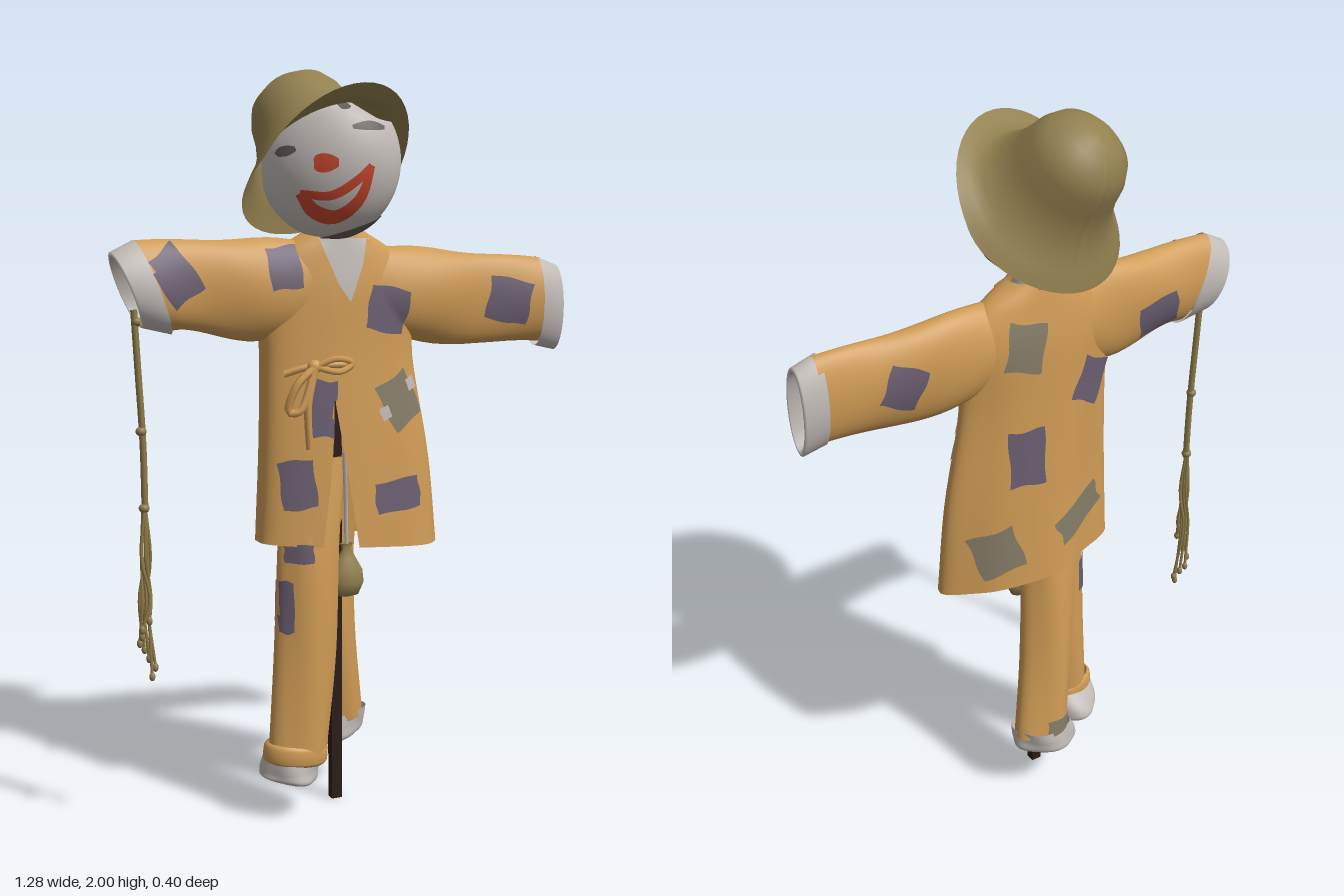
import * as THREE from 'three';

const V = (x, y, z) => new THREE.Vector3(x, y, z);
const mat = (name, color) => {
  const m = new THREE.MeshStandardMaterial({ color, side: THREE.DoubleSide });
  m.name = name;
  return m;
};

// Cross-sections: a level ring (body, legs) and an upright ring (sleeves)
const level = (x, y, z, rx, rz, tilt = 0) => ({ c: V(x, y, z), u: V(rx, tilt, 0), v: V(0, 0, rz) });
const upright = (x, y, z, ry, rz, tilt = 0) => ({ c: V(x, y, z), u: V(tilt, ry, 0), v: V(0, 0, rz) });

// Skin through cross-sections; fold(a, t) scales the radius, gap(t) opens the front
function loft(rings, { sub = 6, segs = 48, fold = () => 1, gap = null } = {}) {
  const curve = k => new THREE.CatmullRomCurve3(rings.map(r => r[k]), false, 'catmullrom', 0.5);
  const [c, u, v] = ['c', 'u', 'v'].map(curve);
  const rows = (rings.length - 1) * sub, cols = gap ? segs + 1 : segs;
  const pos = [], idx = [];
  for (let i = 0; i <= rows; i++) {
    const t = i / rows, C = c.getPoint(t), U = u.getPoint(t), W = v.getPoint(t);
    const g = gap ? gap(t) : 0;
    for (let j = 0; j < cols; j++) {
      const a = Math.PI / 2 + 0.23 + g + (j / segs) * (2 * Math.PI - 2 * g);
      const f = fold(a, t);
      pos.push(...C.clone().addScaledVector(U, Math.cos(a) * f).addScaledVector(W, Math.sin(a) * f).toArray());
    }
  }
  for (let i = 0; i < rows; i++) for (let j = 0; j < segs; j++) {
    const k = (j + 1) % cols, a = i * cols + j, b = i * cols + k, d = a + cols, e = b + cols;
    idx.push(a, d, b, b, d, e);
  }
  const geo = new THREE.BufferGeometry();
  geo.setAttribute('position', new THREE.Float32BufferAttribute(pos, 3));
  geo.setIndex(idx);
  geo.computeVertexNormals();
  return geo;
}

// Thin sheet laid onto target meshes, projected along z from the front (1) or back (-1)
function drape(targets, outline, nu, nv, side, lift = 0.005) {
  const ray = new THREE.Raycaster(), pos = [], idx = [], depth = [];
  for (let i = 0; i <= nu; i++) for (let j = 0; j <= nv; j++) {
    const [x, y] = outline(i / nu, j / nv);
    ray.set(V(x, y, 2 * side), V(0, 0, -side));
    const hit = ray.intersectObjects(targets, false)[0];
    depth.push(hit ? hit.point.z : NaN);
    pos.push(x, y, hit ? hit.point.z + side * lift : 0);
  }
  for (let i = 0; i < nu; i++) for (let j = 0; j < nv; j++) {
    const a = i * (nv + 1) + j, q = [a, a + 1, a + nv + 1, a + nv + 2], z = q.map(k => depth[k]);
    if (!(Math.max(...z) - Math.min(...z) < 0.06)) continue;
    if (side > 0) idx.push(q[0], q[2], q[1], q[1], q[2], q[3]);
    else idx.push(q[0], q[1], q[2], q[1], q[3], q[2]);
  }
  const geo = new THREE.BufferGeometry();
  geo.setAttribute('position', new THREE.Float32BufferAttribute(pos, 3));
  geo.setIndex(idx);
  geo.computeVertexNormals();
  return geo;
}

const patchOutline = (cx, cy, w, h, rot) => (s, t) => {
  const x = (s - 0.5) * w * (1 + 0.05 * Math.sin(t * 7 + cx * 40));
  const y = (t - 0.5) * h * (1 + 0.05 * Math.sin(s * 6 + cy * 40));
  return [cx + x * Math.cos(rot) - y * Math.sin(rot), cy + x * Math.sin(rot) + y * Math.cos(rot)];
};

const strokeOutline = (points, width, taper = 0) => {
  const c = new THREE.CatmullRomCurve3(points.map(p => V(p[0], p[1], 0)));
  return (s, t) => {
    const p = c.getPoint(s), d = c.getTangent(s);
    const w = (t - 0.5) * width * (1 - taper + taper * Math.sin(Math.PI * s));
    return [p.x - d.y * w, p.y + d.x * w];
  };
};

export function createModel() {
  const root = new THREE.Group();
  root.name = 'scarecrow';
  const cloth = mat('ochre cloth', 0xcf9b55), white = mat('pale linen', 0xc2bbb7);
  const felt = mat('olive felt', 0x92804f), purple = mat('purple patch', 0x6a5e70);
  const grey = mat('grey patch', 0x857c68), red = mat('red paint', 0xc8452c);
  const ink = mat('dark paint', 0x625b58), wood = mat('dark wood', 0x2a1c15);
  const twine = mat('twine', 0x917d4a);
  const add = (name, geo, m) => {
    const mesh = new THREE.Mesh(geo, m);
    mesh.name = name;
    root.add(mesh);
    return mesh;
  };
  const tube = (name, pts, r, m, n = 24) =>
    add(name, new THREE.TubeGeometry(new THREE.CatmullRomCurve3(pts.map(p => V(...p))), n, r, 6), m);
  const ball = (name, x, y, z, rx, ry, rz, m) =>
    add(name, new THREE.SphereGeometry(1, 24, 16).scale(rx, ry, rz).translate(x, y, z), m);

  // Wooden frame
  add('post', new THREE.BoxGeometry(0.03, 1.56, 0.027).translate(-0.02, 0.78, -0.017), wood);
  add('crossbar', new THREE.BoxGeometry(1.0, 0.025, 0.025).translate(0, 1.42, 0), wood);

  // Jacket body (full in front, sloping away at the back corners) and sleeves
  const bodyFold = (a, t) => {
    const corner = Math.sin(a) > 0 ? 0.06 : Math.cos(a) < 0 ? -0.15 : -0.1;
    return 1 + (1 - t) * (corner * Math.sin(2 * a) ** 2 + 0.018 * Math.cos(7 * a + 2 * t));
  };
  const body = add('jacketBody', loft([
    level(0.01, 0.742, -0.012, 0.268, 0.118, -0.02), level(0.005, 0.98, -0.012, 0.25, 0.103, -0.01),
    level(-0.015, 1.25, -0.014, 0.222, 0.088), level(-0.015, 1.42, -0.014, 0.23, 0.082),
    level(-0.025, 1.52, -0.012, 0.18, 0.07), level(-0.025, 1.585, -0.01, 0.08, 0.06),
  ], { segs: 72, gap: t => 0.19 * Math.max(0, 1 - t / 0.32), fold: bodyFold }), cloth);
  const sleeveFold = (a, t) => 1 + 0.03 * Math.sin(3 * a + 9 * t);
  const leftSleeve = add('leftSleeve', loft([
    upright(0.04, 1.43, -0.005, 0.105, 0.066), upright(0.24, 1.408, -0.004, 0.13, 0.066),
    upright(0.42, 1.395, 0, 0.123, 0.05), upright(0.59, 1.387, 0.023, 0.117, 0.05),
  ], { fold: sleeveFold }), cloth);
  const rightSleeve = add('rightSleeve', loft([
    upright(-0.08, 1.44, -0.005, 0.11, 0.066), upright(-0.24, 1.432, -0.005, 0.135, 0.064),
    upright(-0.41, 1.447, 0, 0.117, 0.058), upright(-0.54, 1.447, 0.015, 0.115, 0.062, -0.045),
  ], { fold: sleeveFold }), cloth);

  // Turned-back cuffs
  add('leftCuff', loft([
    upright(0.575, 1.384, 0.025, 0.124, 0.056), upright(0.637, 1.366, 0.025, 0.12, 0.056),
    upright(0.639, 1.366, 0.025, 0.106, 0.042), upright(0.56, 1.384, 0.025, 0.104, 0.04),
  ], { sub: 1 }), white);
  add('rightCuff', loft([
    upright(-0.535, 1.445, 0.012, 0.12, 0.068, -0.047), upright(-0.604, 1.44, 0.015, 0.096, 0.076, -0.038),
    upright(-0.606, 1.44, 0.015, 0.084, 0.06, -0.034), upright(-0.53, 1.445, 0.012, 0.1, 0.052, -0.04),
  ], { sub: 1 }), white);

  // Trousers, rolled hems and stuffed feet
  const legFold = (a, t) => 1 + 0.05 * Math.sin(4 * a + 3 * t);
  const rightLeg = add('rightLeg', loft([
    level(-0.09, 0.98, 0.0, 0.085, 0.055), level(-0.12, 0.75, 0.036, 0.083, 0.056),
    level(-0.134, 0.45, 0.043, 0.087, 0.06), level(-0.16, 0.17, 0.05, 0.085, 0.062),
  ], { fold: legFold }), cloth);
  const leftLeg = add('leftLeg', loft([
    level(-0.005, 0.98, -0.03, 0.09, 0.055), level(-0.03, 0.75, -0.062, 0.082, 0.056),
    level(-0.015, 0.48, -0.083, 0.08, 0.063), level(0.02, 0.2, -0.112, 0.085, 0.06, 0.01),
  ], { fold: legFold }), cloth);
  add('rolledHem', loft([
    level(-0.165, 0.205, 0.05, 0.08, 0.058, -0.01), level(-0.165, 0.195, 0.05, 0.09, 0.066, -0.01),
    level(-0.168, 0.16, 0.05, 0.09, 0.066, -0.01), level(-0.168, 0.15, 0.05, 0.08, 0.058, -0.01),
  ], { sub: 2 }), cloth);
  add('rightFoot', loft([
    level(-0.17, 0.18, 0.045, 0.08, 0.06), level(-0.178, 0.13, 0.03, 0.078, 0.082),
    level(-0.178, 0.1, 0.03, 0.07, 0.078, -0.01), level(-0.178, 0.09, 0.03, 0.002, 0.002),
  ], { fold: legFold }), white);
  add('leftFoot', loft([
    level(0.02, 0.222, -0.112, 0.088, 0.064, 0.01), level(0.007, 0.18, -0.112, 0.096, 0.064, 0.015),
    level(0.002, 0.145, -0.112, 0.087, 0.058, 0.012), level(0.0, 0.13, -0.112, 0.002, 0.002),
  ], { fold: legFold }), white);

  // Neck, knotted scarf end and shirt front
  add('neck', new THREE.CylinderGeometry(0.058, 0.07, 0.13, 28).scale(1, 1, 0.8).translate(-0.025, 1.535, 0), white);
  ball('scarfKnot', -0.005, 1.583, -0.06, 0.018, 0.02, 0.016, white);
  add('shirtFront', drape([body, leftSleeve, rightSleeve], (s, t) =>
    [-0.02 + (s - 0.5) * 0.15 * (0.04 + 0.96 * t), 1.39 + 0.175 * t], 10, 10, 1, 0.006), white);

  // Hat: crown and drooping brim, tipped back with the front edge turned up
  const profile = [[0.252, -0.03], [0.236, -0.012], [0.22, 0.005], [0.19, 0.035], [0.16, 0.08], [0.142, 0.13],
    [0.132, 0.18], [0.112, 0.222], [0.07, 0.255], [0.03, 0.267], [0, 0.269]];
  const hat = new THREE.LatheGeometry(profile.map(p => new THREE.Vector2(...p)), 48, Math.PI);
  const hp = hat.attributes.position;
  for (let i = 0; i < hp.count; i++) {
    const x = hp.getX(i), z = hp.getZ(i), r = Math.hypot(x, z);
    if (r > 0.192) hp.setY(i, hp.getY(i) + 0.075 * Math.max(0, (0.9 * z + 0.45 * x) / r) * (r - 0.192) / 0.06);
  }
  hat.computeVertexNormals();
  const hatAxis = V(-0.2, 0.77, -0.62).normalize(), hatCentre = V(-0.065, 1.758, 0.03);
  const hatMesh = add('hat', hat, felt);
  hatMesh.quaternion.setFromUnitVectors(V(0, 1, 0), hatAxis);
  hatMesh.position.copy(hatCentre);

  // Head: a skewed egg, its top squeezed to sit inside the crown
  const headShape = new THREE.Matrix4().set(
    0.175, 0, 0, -0.055, 0, 0.2, 0, 1.763, 0.045, 0, 0.14, 0.03, 0, 0, 0, 1);
  const head = add('head', new THREE.SphereGeometry(1, 48, 36).applyMatrix4(headShape), white);
  const headPos = head.geometry.attributes.position;
  for (let i = 0; i < headPos.count; i++) {
    const p = V(0, 0, 0).fromBufferAttribute(headPos, i).sub(hatCentre), h = p.dot(hatAxis);
    if (h < 0) continue;
    const out = p.clone().addScaledVector(hatAxis, -h), limit = Math.max(0.06, 0.183 - 0.45 * h);
    out.clampLength(0, limit).addScaledVector(hatAxis, h).add(hatCentre);
    headPos.setXYZ(i, out.x, out.y, out.z);
  }
  head.geometry.computeVertexNormals();
  add('chinShade', new THREE.SphereGeometry(1.017, 40, 8, 0, Math.PI * 2, Math.PI - 0.52, 0.52)
    .rotateZ(0.3).applyMatrix4(headShape), ink);

  // Painted face
  const paint = (name, pts, width, m, taper = 0.6) =>
    add(name, drape([head], strokeOutline(pts, width, taper), 20, 4, 1, 0.005), m);
  paint('lowerLip', [[-0.166, 1.68], [-0.13, 1.636], [-0.08, 1.62], [-0.03, 1.66], [-0.002, 1.75]], 0.036, red, 0.5);
  paint('upperLip', [[-0.166, 1.68], [-0.1, 1.674], [-0.042, 1.71], [-0.002, 1.75]], 0.024, red, 0.3);
  paint('nose', [[-0.142, 1.755], [-0.086, 1.757]], 0.048, red);
  paint('rightEye', [[-0.212, 1.776], [-0.198, 1.786], [-0.178, 1.792]], 0.026, ink);
  paint('leftEye', [[-0.048, 1.846], [0, 1.85], [0.042, 1.846]], 0.024, ink);
  paint('leftBrow', [[-0.07, 1.898], [-0.033, 1.904]], 0.02, ink);

  // Patches: x, y, width, height, turn, side, material
  const coat = [body, leftSleeve, rightSleeve];
  const patches = [
    [-0.49, 1.475, 0.1, 0.14, 0.6, 1, purple, coat], [-0.19, 1.49, 0.09, 0.11, 0.1, 1, purple, coat],
    [0.1, 1.375, 0.12, 0.12, -0.2, 1, purple, coat], [0.475, 1.39, 0.125, 0.12, -0.2, 1, purple, coat],
    [-0.095, 1.12, 0.07, 0.15, -0.1, 1, purple, coat], [-0.165, 0.92, 0.09, 0.13, 0.1, 1, purple, coat],
    [0.12, 0.875, 0.14, 0.085, 0.1, 1, purple, coat], [0.135, 1.13, 0.11, 0.135, 0.5, 1, grey, coat],
    [-0.165, 0.735, 0.07, 0.05, 0, 1, purple, [rightLeg]], [-0.2, 0.59, 0.035, 0.14, 0, 1, purple, [rightLeg]],
    [-0.035, 0.53, 0.06, 0.1, 0.1, 1, grey, [leftLeg]],
    [0.385, 1.395, 0.1, 0.11, 0.4, -1, purple, coat], [0.055, 1.43, 0.1, 0.13, 0.2, -1, grey, coat],
    [-0.155, 1.28, 0.11, 0.12, 0.5, -1, purple, coat], [-0.385, 1.4, 0.13, 0.1, -0.2, -1, purple, coat],
    [0.06, 1.12, 0.1, 0.16, 0, -1, purple, coat], [0.15, 0.85, 0.12, 0.13, -0.3, -1, grey, coat],
    [-0.11, 0.895, 0.17, 0.085, -0.4, -1, grey, coat], [-0.205, 0.6, 0.05, 0.11, 0, -1, purple, [rightLeg]],
    [-0.01, 0.235, 0.08, 0.05, 0, -1, grey, [leftLeg]],
  ];
  for (const [x, y, w, h, rot, side, m, on] of patches)
    add('patch', drape(on, patchOutline(x, y, w, h, rot), 9, 9, side), m);
  for (const [x, y] of [[0.172, 1.175], [0.085, 1.1]])
    add('palePatch', drape(coat, patchOutline(x, y, 0.03, 0.035, 0.4), 3, 3, 1, 0.009), white);

  // Overlapping lapels, waist tie and bow
  for (const pts of [[[0.055, 1.56], [0.01, 1.4], [-0.06, 1.3], [-0.13, 1.24]], [[-0.105, 1.56], [-0.07, 1.46], [-0.02, 1.385]]])
    add('lapel', drape(coat, strokeOutline(pts, 0.026), 20, 2, 1, 0.008), cloth);
  tube('tieBand', [[-0.2, 1.215, 0.065], [-0.13, 1.235, 0.085], [-0.02, 1.235, 0.08]], 0.009, cloth);
  ball('bowKnot', -0.125, 1.235, 0.095, 0.02, 0.018, 0.016, cloth);
  tube('bowLoop', [[-0.125, 1.235, 0.1], [-0.18, 1.19, 0.11], [-0.2, 1.12, 0.1], [-0.175, 1.12, 0.11], [-0.125, 1.235, 0.1]], 0.011, cloth);
  tube('bowLoop', [[-0.125, 1.235, 0.1], [-0.07, 1.255, 0.11], [-0.02, 1.24, 0.1], [-0.06, 1.22, 0.11], [-0.125, 1.235, 0.1]], 0.009, cloth);
  tube('bowTail', [[-0.125, 1.235, 0.1], [-0.15, 1.13, 0.11], [-0.145, 1.02, 0.108]], 0.01, cloth);

  // Gourd hanging at the waist
  const gourd = [[0, -0.066], [0.035, -0.058], [0.05, -0.025], [0.046, 0.01], [0.026, 0.045], [0.013, 0.07], [0.018, 0.085]];
  add('gourd', new THREE.LatheGeometry(gourd.map(p => new THREE.Vector2(...p)), 28)
    .scale(1, 1, 0.62).translate(-0.005, 0.655, 0.028), felt);
  tube('gourdCord', [[-0.005, 0.73, 0.028], [-0.012, 0.85, 0.04], [-0.03, 1.0, 0.07]], 0.006, white);

  // Frayed rope hanging from the right cuff
  tube('rope', [[-0.585, 1.39, 0.015], [-0.578, 1.25, 0.015], [-0.568, 1.05, 0.014], [-0.566, 0.87, 0.014]], 0.009, twine);
  for (const y of [1.36, 1.08, 0.88]) ball('ropeKnot', -0.571 - (y - 1) * 0.02, y, 0.015, 0.014, 0.012, 0.014, twine);
  for (let i = 0; i < 8; i++) {
    const a = i * 2.4, r = 0.012 + 0.002 * i, end = 0.43 + 0.022 * ((i * 5) % 8);
    const at = (y, k, w) => [-0.568 + Math.cos(a + w) * r * k, y, 0.014 + Math.sin(a + w) * r * k];
    tube('ropeStrand', [at(0.88, 0.2, 0), at(0.75, 0.6, 0.8), at(0.64, 0.7, -0.6), at(end, 1, 0.5)], 0.0042, twine, 14);
    ball('strandKnot', ...at(end, 1, 0.5), 0.008, 0.012, 0.008, twine);
  }
  return root;
}
